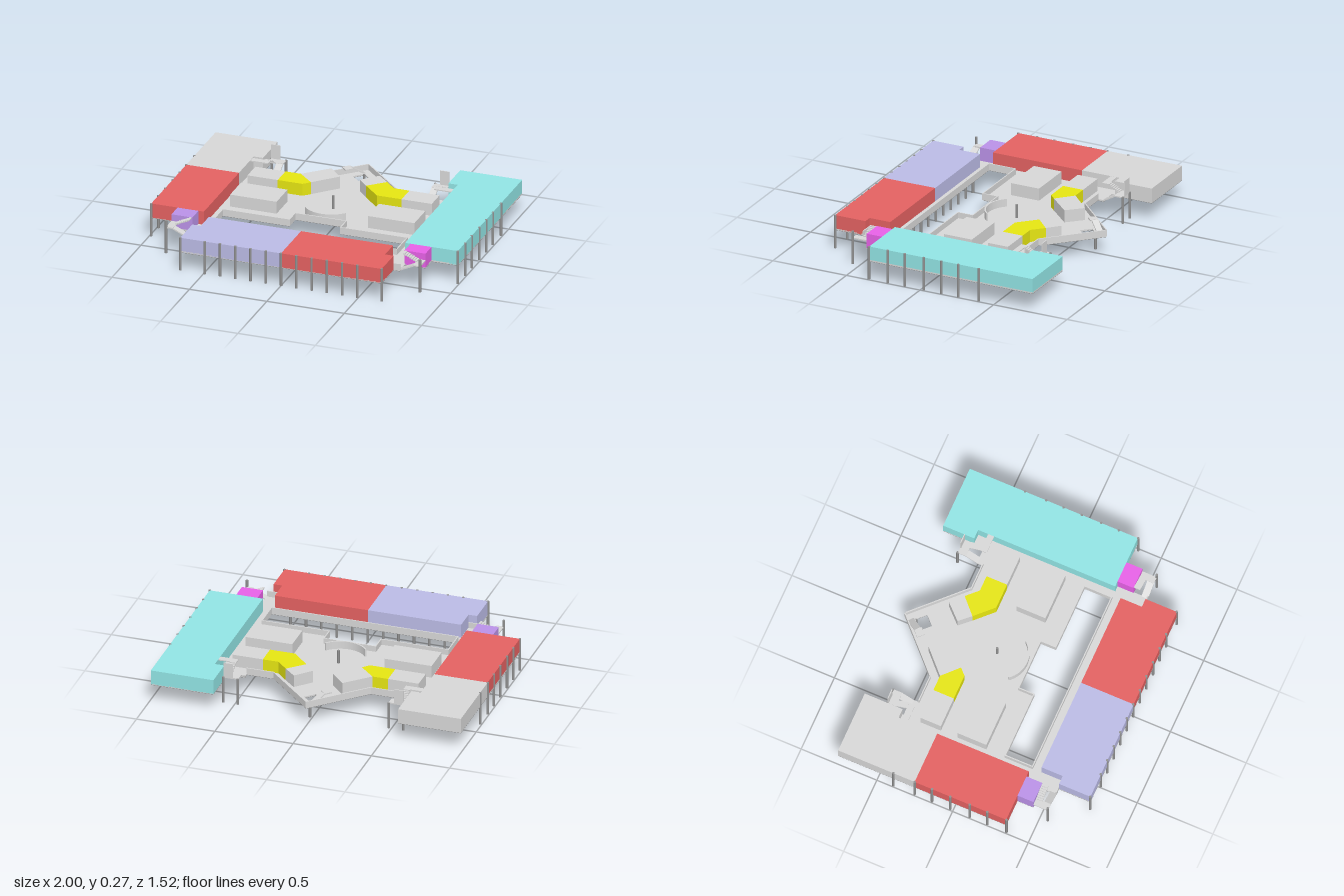
import * as THREE from 'three';

const paint = (name, color) => {
  const m = new THREE.MeshStandardMaterial({ color });
  m.name = name;
  return m;
};

export function createModel() {
  const model = new THREE.Group();
  model.name = 'schoolBuilding';
  const grey = paint('concrete grey', 0xd7d7d7);
  const dark = paint('column grey', 0x909090);
  const red = paint('red', 0xe36161);
  const lavender = paint('lavender', 0xbbbbe5);
  const teal = paint('teal', 0x91e4e4);
  const purple = paint('purple', 0xbb92e8);
  const magenta = paint('magenta', 0xe862e8);
  const yellow = paint('yellow', 0xe5e512);

  const FLOOR = 0.128, ROOF = 0.215, RAIL = 0.165, BASE = 0.122;

  const add = (geometry, material, name, x = 0, y = 0, z = 0) => {
    const mesh = new THREE.Mesh(geometry, material);
    mesh.name = name;
    mesh.position.set(x, y, z);
    model.add(mesh);
    return mesh;
  };
  // Box given by its limits
  const box = (name, mat, x0, x1, y0, y1, z0, z1) =>
    add(new THREE.BoxGeometry(Math.abs(x1 - x0), y1 - y0, Math.abs(z1 - z0)), mat, name,
      (x0 + x1) / 2, (y0 + y1) / 2, (z0 + z1) / 2);
  // Plan outline in x,z raised from y0 to y1
  const toVectors = (pts) => pts.map(([x, z]) => new THREE.Vector2(x, z));
  const block = (name, mat, pts, y0, y1, holes = []) => {
    const shape = new THREE.Shape(toVectors(pts));
    holes.forEach((h) => shape.holes.push(new THREE.Path(toVectors(h))));
    const g = new THREE.ExtrudeGeometry(shape, { depth: y1 - y0, bevelEnabled: false, curveSegments: 20 });
    g.rotateX(Math.PI / 2);
    return add(g, mat, name, 0, y1, 0);
  };
  // Low wall following a plan path
  const wall = (name, pts, y0 = BASE, y1 = RAIL, t = 0.007) => {
    for (let i = 0; i + 1 < pts.length; i++) {
      const [ax, az] = pts[i], [bx, bz] = pts[i + 1];
      const m = add(new THREE.BoxGeometry(Math.hypot(bx - ax, bz - az) + t, y1 - y0, t), grey, name,
        (ax + bx) / 2, (y0 + y1) / 2, (az + bz) / 2);
      m.rotation.y = -Math.atan2(bz - az, bx - ax);
    }
  };
  // Sloping plate between two points
  const ramp = (name, a, b, width) => {
    const from = new THREE.Vector3(...a), to = new THREE.Vector3(...b);
    const m = add(new THREE.BoxGeometry(width, 0.008, from.distanceTo(to)), grey, name);
    m.position.lerpVectors(from, to, 0.5);
    m.lookAt(to);
  };
  const columnShape = new THREE.CylinderGeometry(0.008, 0.008, 1, 10);
  const column = (x, z, top, bottom = 0) => {
    add(columnShape, dark, 'column', x, (top + bottom) / 2, z).scale.y = top - bottom;
  };
  const mirror = (pts, s) => pts.map(([x, z]) => [x * s, z]);

  // Floor slab with courtyard and small diamond opening, and its darker underside
  const half = [[0.31, -0.45], [0.48, -0.45], [0.48, -0.49], [0.59, -0.49], [0.59, -0.76],
    [0.99, -0.76], [0.99, 0.35], [0.82, 0.35], [0.82, 0.455], [0.69, 0.455], [0.69, 0.55],
    [0.65, 0.55], [0.65, 0.757]];
  const court = [[0.165, 0.07], [0.165, 0.17], [0.595, 0.17], [0.595, 0.35]];
  const courtyard = [...court, ...mirror(court, -1).reverse()];
  const diamond = [[0, -0.685], [0.055, -0.63], [0, -0.575], [-0.055, -0.63]];
  const plan = [[0, -0.755], ...half, ...mirror(half, -1).reverse()];
  block('floorSlab', grey, plan, 0.119, FLOOR, [courtyard, diamond]);
  block('slabUnderside', dark, plan, 0.117, 0.119, [courtyard, diamond]);

  // Courtyard and terrace parapets
  wall('courtyardParapet', [...courtyard, courtyard[0]]);
  wall('terraceParapet', [[-0.48, -0.45], [-0.31, -0.45], [-0.004, -0.75]]);
  wall('terraceParapet', [[0.48, -0.45], [0.31, -0.45], [0.004, -0.75]]);

  // Small stair beside the diamond opening
  block('tipLanding', grey, [[-0.085, -0.655], [-0.05, -0.62], [-0.085, -0.585], [-0.12, -0.62]], 0.176, 0.184);
  ramp('tipStair', [-0.012, -0.004 + FLOOR, -0.71], [-0.07, 0.18, -0.64], 0.04);

  // Curved wall in the hall
  const arc = new THREE.Shape();
  const A0 = Math.PI * 0.22, A1 = Math.PI * 0.78;
  arc.absarc(0, -0.118, 0.172, A0, A1, false);
  arc.absarc(0, -0.118, 0.163, A1, A0, true);
  const arcGeometry = new THREE.ExtrudeGeometry(arc, { depth: 0.055, bevelEnabled: false, curveSegments: 20 });
  arcGeometry.rotateX(Math.PI / 2);
  add(arcGeometry, grey, 'curvedWall', 0, 0.178, 0);

  // Side wings
  const wing = [[0.59, -0.76], [0.99, -0.76], [0.99, 0.35], [0.65, 0.35], [0.65, -0.555], [0.59, -0.555]];
  block('leftWing', teal, wing, BASE, ROOF);
  block('rightWingRear', grey, [[-0.99, -0.76], [-0.59, -0.76], [-0.59, -0.51], [-0.65, -0.51],
    [-0.65, -0.255], [-0.99, -0.255]], BASE, ROOF);
  box('rightWingFront', red, -0.99, -0.65, BASE, ROOF, -0.255, 0.35);

  // Front wing in two colours
  const front = [[0, 0.41], [0.595, 0.41], [0.595, 0.55], [0.65, 0.55], [0.65, 0.757], [0, 0.757]];
  block('frontWingLeft', red, front, BASE, ROOF);
  block('frontWingRight', lavender, mirror(front, -1), BASE, ROOF);

  // Inner rooms, with bent rear blocks
  const TOP = 0.207;
  for (const s of [1, -1]) {
    box('sideRoom', grey, s * 0.295, s * 0.595, BASE, TOP, -0.145, 0.045);
    block('rearRoom', grey, mirror([[0.4, -0.39], [0.595, -0.39], [0.595, -0.255], [0.4, -0.255]], s), BASE, TOP);
  }
  block('rearRoomCorner', yellow, [[0.23, -0.46], [0.3, -0.39], [0.4, -0.39], [0.4, -0.255],
    [0.24, -0.255], [0.13, -0.365]], BASE, TOP);
  block('rearRoomEnd', grey, [[0.155, -0.53], [0.23, -0.46], [0.13, -0.365], [0.065, -0.435]], BASE, TOP);
  block('rearRoomCorner', yellow, [[-0.4, -0.39], [-0.3, -0.39], [-0.2, -0.295], [-0.24, -0.255],
    [-0.4, -0.255]], BASE, TOP);
  block('rearRoomEnd', grey, [[-0.3, -0.39], [-0.155, -0.53], [-0.065, -0.435], [-0.2, -0.295]], BASE, TOP);

  // Upper flights of thin treads
  const STEPS = 7, MID = 0.172;
  const flight = (alongX, from, to, c0, c1) => {
    for (let i = 0; i < STEPS; i++) {
      const a = from + (to - from) * i / STEPS, b = from + (to - from) * (i + 1) / STEPS;
      const y = MID + (ROOF - MID) * (i + 1) / STEPS;
      if (alongX) box('stairStep', grey, a, b, y - 0.008, y, c0, c1);
      else box('stairStep', grey, c0, c1, y - 0.008, y, a, b);
    }
  };
  for (const s of [1, -1]) {
    // Front corner stair and its coloured room
    box('stairRoom', s > 0 ? magenta : purple, s * 0.685, s * 0.82, BASE, ROOF, 0.35, 0.455);
    ramp('lowerFlight', [s * 0.685, FLOOR - 0.004, 0.5285], [s * 0.78, MID - 0.004, 0.5285], 0.043);
    flight(true, s * 0.78, s * 0.69, 0.455, 0.497);
    box('stairLanding', grey, s * 0.775, s * 0.82, MID - 0.008, MID, 0.455, 0.55);
    wall('stairParapet', [[s * 0.6, 0.547], [s * 0.687, 0.547]]);
    column(s * 0.82, 0.55, ROOF);
    // Rear stair with tall end panel
    ramp('lowerFlight', [s * 0.501, FLOOR - 0.004, -0.485], [s * 0.501, MID - 0.004, -0.565], 0.042);
    flight(false, -0.565, -0.49, s * 0.535, s * 0.575);
    box('rearStairLanding', grey, s * 0.48, s * 0.575, MID - 0.008, MID, -0.615, -0.56);
    box('rearStairHead', grey, s * 0.535, s * 0.65, ROOF - 0.008, ROOF - 0.001, -0.49, -0.45);
    box('rearStairPanel', grey, s * 0.515, s * 0.575, MID, 0.265, -0.615, -0.609);
    column(s * 0.575, -0.618, MID);
    column(s * 0.482, -0.618, MID);
    // Outer wing columns
    for (const z of [-0.395, -0.255, -0.14, -0.02, 0.108, 0.225, 0.352]) column(s * 0.99, z, ROOF + 0.001);
    column(s * 0.65, 0.755, ROOF + 0.001);
  }

  // Front wing and corridor columns
  for (let i = -5; i <= 5; i++) {
    column(i * 0.0985, 0.755, ROOF + 0.001);
    column(i * 0.0985, 0.405, FLOOR);
  }
  // Hall post and short post at the rear tip
  column(0, -0.145, ROOF, FLOOR);
  column(0, -0.68, FLOOR, 0.025);

  return model;
}
